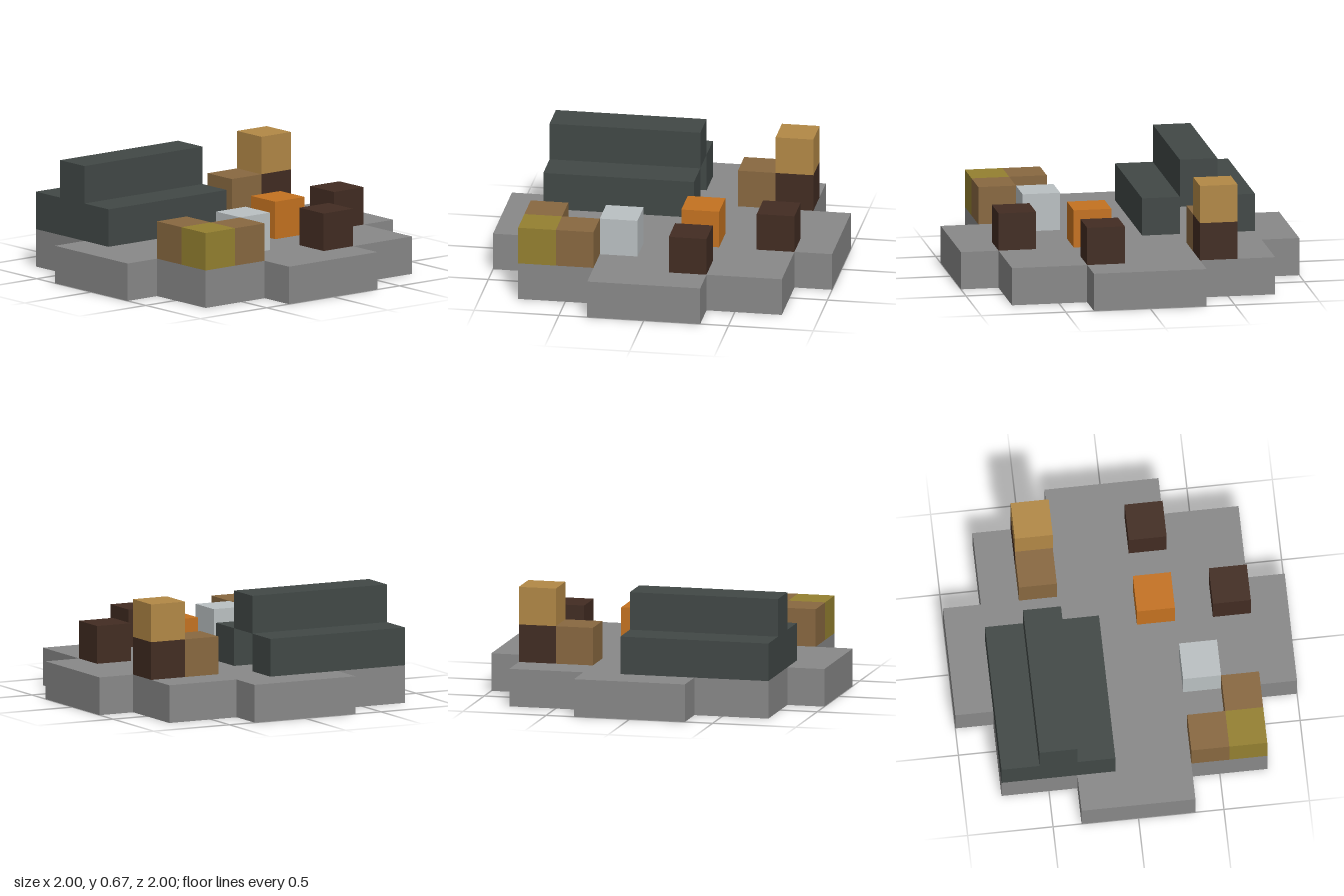
import * as THREE from 'three';

const U = 2 / 9; // one block of the 9 x 9 grid

const paint = (name, color) => {
  const m = new THREE.MeshStandardMaterial({ color });
  m.name = name;
  return m;
};

export function createModel() {
  const stone = paint('stone grey', 0x888888);
  const slate = paint('dark slate', 0x414846);
  const darkWood = paint('dark brown', 0x422c22);
  const wood = paint('brown', 0x886840);
  const paleWood = paint('light tan', 0xb28846);
  const moss = paint('olive yellow', 0x948030);
  const iron = paint('pale grey', 0xbac0c2);
  const ember = paint('orange', 0xc47220);

  const model = new THREE.Group();
  model.name = 'blockCamp';

  // Box measured in blocks: low corner (x, y, z) and size; x and z run from -4.5 to 4.5
  const block = (parent, name, material, x, y, z, w = 1, h = 1, d = 1) => {
    const mesh = new THREE.Mesh(new THREE.BoxGeometry(w * U, h * U, d * U), material);
    mesh.position.set((x + w / 2) * U, (y + h / 2) * U, (z + d / 2) * U);
    mesh.name = name;
    parent.add(mesh);
  };

  // Stepped round floor: one quarter outline turned four times
  const quarter = [[4.5, -1.5], [4.5, 1.5], [3.5, 1.5], [3.5, 3.5], [1.5, 3.5]];
  const outline = [];
  for (let i = 0; i < 4; i++) {
    for (const [x, y] of quarter) {
      const p = new THREE.Vector2(x * U, y * U);
      outline.push(p.rotateAround(new THREE.Vector2(), i * Math.PI / 2));
    }
  }
  const floorGeo = new THREE.ExtrudeGeometry(new THREE.Shape(outline), { depth: U, bevelEnabled: false });
  floorGeo.rotateX(-Math.PI / 2);
  const floor = new THREE.Mesh(floorGeo, stone);
  floor.name = 'floor';
  model.add(floor);

  // Shelter: two long walls, a closed end and a ridge over an open tunnel
  const shelter = new THREE.Group();
  shelter.name = 'shelter';
  block(shelter, 'backWall', slate, -3.5, 1, -3.5, 4);
  block(shelter, 'frontWall', slate, -3.5, 1, -1.5, 4);
  block(shelter, 'endWall', slate, -3.5, 1, -2.5);
  block(shelter, 'ridge', slate, -3.5, 2, -2.5, 4);
  model.add(shelter);

  // Storage corner
  block(model, 'cornerCrate', moss, -3.5, 1, 2.5);
  block(model, 'backCrate', wood, -3.5, 1, 1.5);
  block(model, 'sideCrate', wood, -2.5, 1, 2.5);

  // Work block, fire and log seats
  block(model, 'workBlock', iron, -1.5, 1, 1.5);
  block(model, 'fire', ember, 0.5, 1, 0.5);
  block(model, 'frontSeat', darkWood, 0.5, 1, 2.5);
  block(model, 'sideSeat', darkWood, 2.5, 1, 0.5);

  // Stacked tower with a crate beside it
  block(model, 'towerBase', darkWood, 2.5, 1, -2.5);
  block(model, 'towerTop', paleWood, 2.5, 2, -2.5);
  block(model, 'towerCrate', wood, 1.5, 1, -2.5);

  return model;
}
